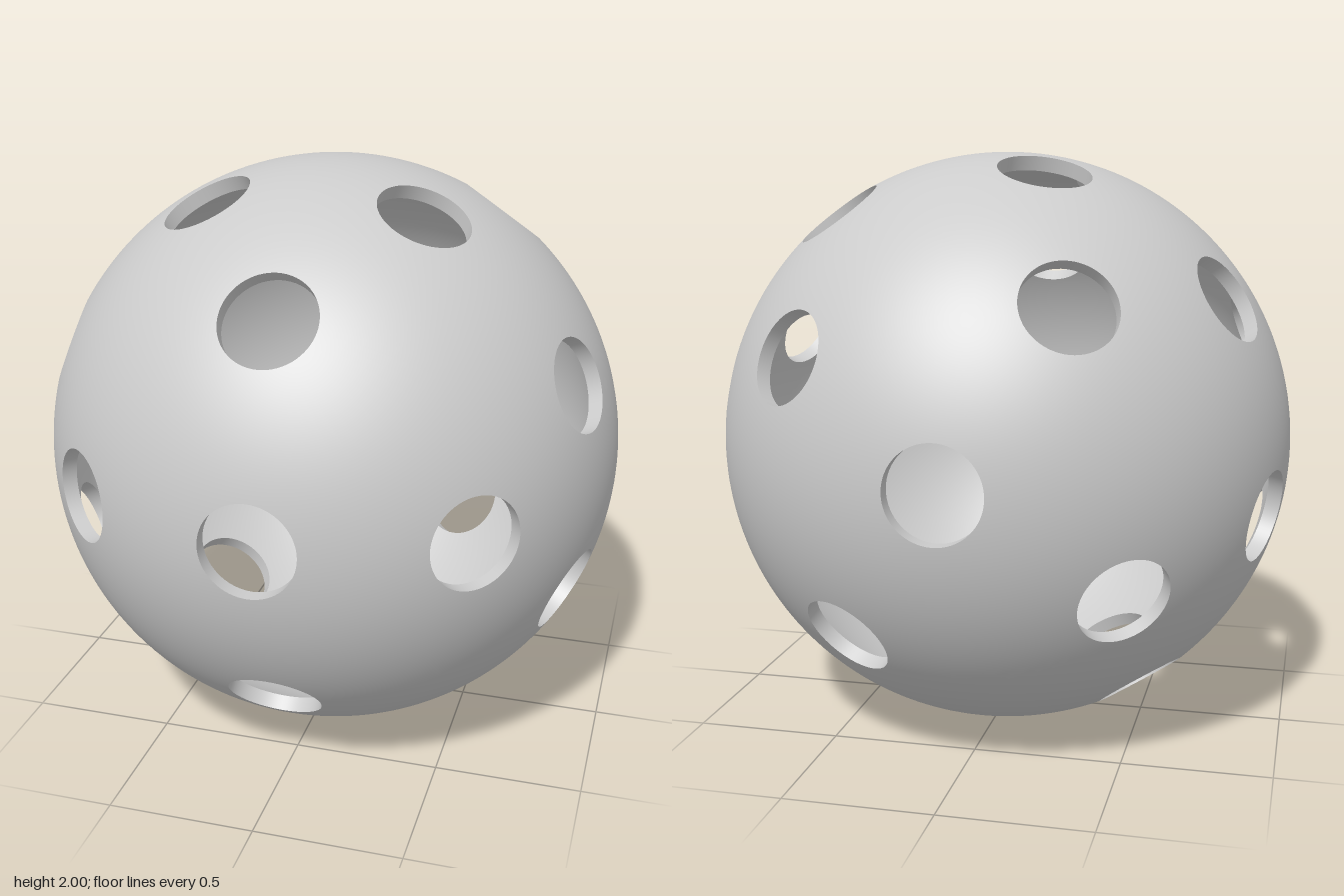
import * as THREE from 'three';

const OUTER = 1, INNER = 0.95, HOLE = 0.158;
const STEPS = 8; // rows between a hole and the edge of its cell

// Directions of the 26 holes: pole, ring of four, ring of eight on each half
function holeDirections() {
  const dirs = [];
  const ring = (side, count, polar, start) => {
    for (let i = 0; i < count; i++) {
      const a = start + (i * 2 * Math.PI) / count;
      const s = Math.sin(polar);
      dirs.push(new THREE.Vector3(s * Math.cos(a), s * Math.sin(a), side * Math.cos(polar)));
    }
  };
  const deg = Math.PI / 180;
  for (const [side, turn] of [[1, 0], [-1, 33.75 * deg]]) {
    ring(side, 1, 0, 0);
    ring(side, 4, 41 * deg, turn);
    ring(side, 8, 74.45 * deg, turn + 22.5 * deg);
  }
  return dirs;
}

// Angles around one hole at which its cell (the area nearest to it) has corners
function cornerAngles(axis, u, v, others) {
  const angles = [];
  for (let j = 0; j < others.length; j++) {
    for (let k = j + 1; k < others.length; k++) {
      const c = others[j].clone().sub(axis).cross(others[k].clone().sub(axis));
      if (c.length() < 1e-6) continue;
      c.normalize();
      if (c.dot(axis) < 0) c.negate();
      const limit = c.dot(axis) + 1e-6;
      if (others.some((o) => c.dot(o) > limit)) continue;
      const a = Math.atan2(c.dot(v), c.dot(u));
      if (!angles.some((b) => Math.abs(a - b) < 1e-4)) angles.push(a);
    }
  }
  return angles.sort((a, b) => a - b);
}

// Even steps between the corners, so neighbouring cells share their edge points
function sampleAngles(corners) {
  const out = [];
  corners.forEach((a, i) => {
    const b = i + 1 < corners.length ? corners[i + 1] : corners[0] + 2 * Math.PI;
    const n = Math.max(2, Math.ceil((b - a) / 0.1 - 1e-4));
    for (let s = 0; s < n; s++) out.push(a + ((b - a) * s) / n);
  });
  out.push(corners[0] + 2 * Math.PI);
  return out;
}

// One cell: inner skin, hole wall and outer skin swept around the hole axis
function addCell(axis, others, positions, normals, indices) {
  const helper = Math.abs(axis.y) < 0.9 ? new THREE.Vector3(0, 1, 0) : new THREE.Vector3(1, 0, 0);
  const u = helper.cross(axis).normalize();
  const v = axis.clone().cross(u);
  const angles = sampleAngles(cornerAngles(axis, u, v, others));
  const innerPhi = Math.asin(HOLE / INNER), outerPhi = Math.asin(HOLE / OUTER);
  const rows = 2 * (STEPS + 1) + 2;
  const base = positions.length / 3;

  angles.forEach((angle, col) => {
    const d = u.clone().multiplyScalar(Math.cos(angle)).addScaledVector(v, Math.sin(angle));
    let edge = Math.PI / 2;
    for (const o of others) {
      const t = d.dot(o);
      if (t > 1e-6) edge = Math.min(edge, Math.atan((1 - axis.dot(o)) / t));
    }
    const put = (radius, phi, sign) => {
      const n = axis.clone().multiplyScalar(Math.cos(phi)).addScaledVector(d, Math.sin(phi));
      positions.push(n.x * radius, n.y * radius, n.z * radius);
      if (sign === 0) n.copy(d).negate();
      else n.multiplyScalar(sign);
      normals.push(n.x, n.y, n.z);
    };
    for (let r = 0; r <= STEPS; r++) put(INNER, edge + ((innerPhi - edge) * r) / STEPS, -1);
    put(INNER, innerPhi, 0);
    put(OUTER, outerPhi, 0);
    for (let r = 0; r <= STEPS; r++) put(OUTER, outerPhi + ((edge - outerPhi) * r) / STEPS, 1);

    if (col === 0) return;
    for (let r = 0; r < rows - 1; r++) {
      if (r === STEPS || r === STEPS + 2) continue; // sharp edges of the hole
      const a = base + (col - 1) * rows + r, f = a + rows;
      indices.push(a, a + 1, f + 1, a, f + 1, f);
    }
  });
}

export function createModel() {
  const positions = [], normals = [], indices = [];
  const dirs = holeDirections();
  for (const axis of dirs) {
    addCell(axis, dirs.filter((d) => d !== axis), positions, normals, indices);
  }

  const geometry = new THREE.BufferGeometry();
  geometry.setAttribute('position', new THREE.Float32BufferAttribute(positions, 3));
  geometry.setAttribute('normal', new THREE.Float32BufferAttribute(normals, 3));
  geometry.setIndex(indices);

  const shell = new THREE.Mesh(geometry, new THREE.MeshStandardMaterial({ color: 0xcccccc }));
  shell.name = 'perforatedShell';
  shell.position.y = 1;

  const group = new THREE.Group();
  group.name = 'perforatedBall';
  group.add(shell);
  return group;
}
